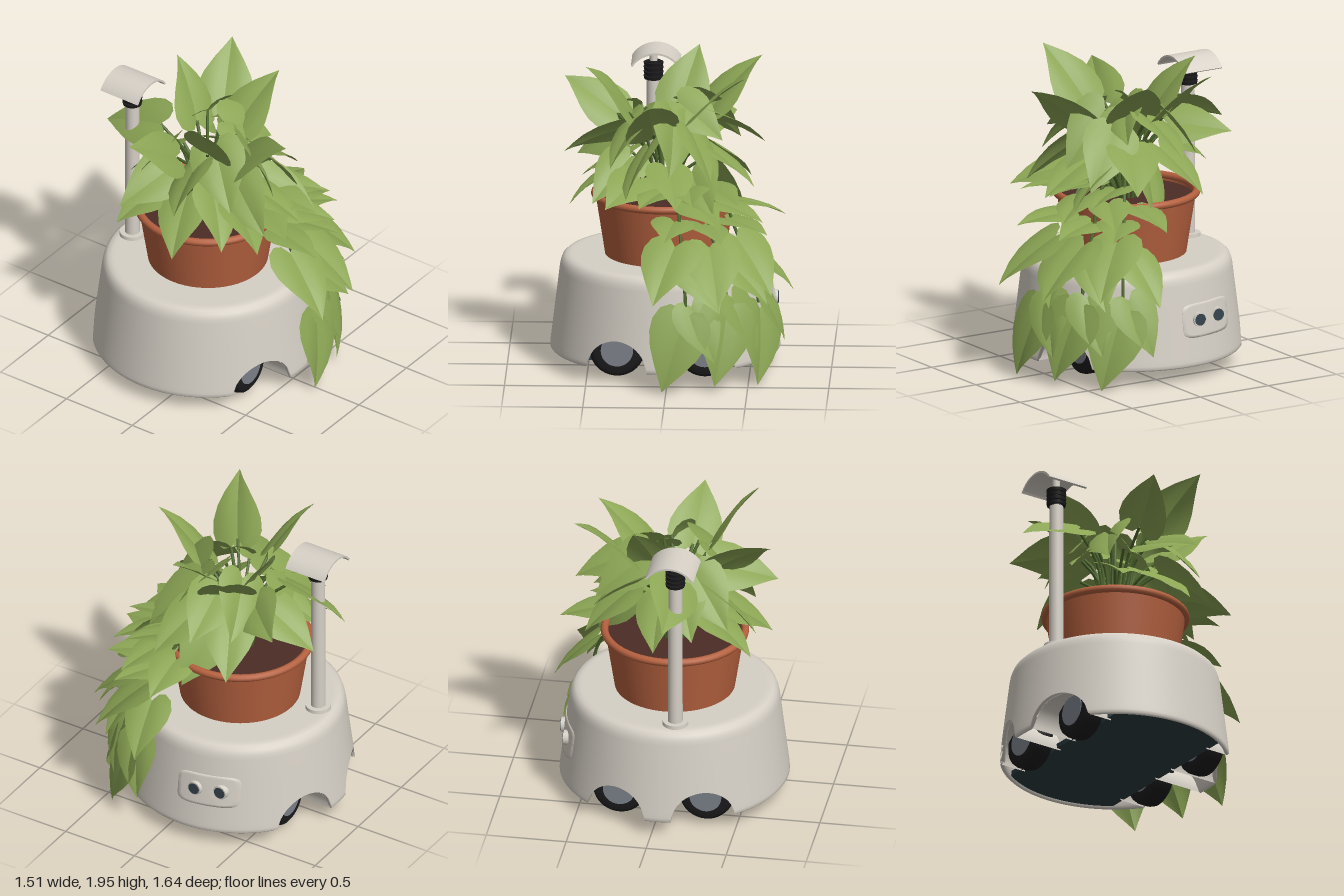
import * as THREE from 'three';

const mat = (name, color, side = THREE.FrontSide) => {
  const m = new THREE.MeshStandardMaterial({ color, side });
  m.name = name;
  return m;
};
const M = {
  shell: mat('warm white shell', 0xd6d0c6, THREE.DoubleSide),
  under: mat('dark underside', 0x2c3b41),
  black: mat('black rubber', 0x1b1b1d),
  hub: mat('grey hub', 0x7c8089),
  lens: mat('dark lens', 0x35444c),
  pot: mat('terracotta', 0xb5613f),
  soil: mat('brown soil', 0x4a2c25),
  leaf: mat('leaf green', 0x8ba554, THREE.DoubleSide),
  stem: mat('stem green', 0x4f6a2e),
};
const CX = -0.03, CZ = -0.13; // axis of the round body
const WHEEL_X = [-0.31, 0.23], WHEEL_Z = [0.33, -0.58];
const V = (x, y, z) => new THREE.Vector3(x, y, z);
const rad = THREE.MathUtils.degToRad;

function add(parent, name, geo, material, x = 0, y = 0, z = 0) {
  const m = new THREE.Mesh(geo, material);
  m.name = name;
  m.position.set(x, y, z);
  parent.add(m);
  return m;
}
const lathe = (pts, seg) => new THREE.LatheGeometry(pts.map(p => new THREE.Vector2(...p)), seg);
const wallRadius = y => 0.712 - 0.122 * (y - 0.13);

// Round shell whose lower edge is lifted over the wheels
function shellGeometry() {
  const pts = [[0.62, 0.6]];
  for (let y = 0.36; y > 0.14; y -= 0.03) pts.push([wallRadius(y) - 0.03, y]);
  pts.push([0.69, 0.132], [0.7, 0.13], [0.709, 0.14]);
  for (let y = 0.16; y < 0.4; y += 0.03) pts.push([wallRadius(y), y]);
  pts.push([wallRadius(0.5), 0.5], [wallRadius(0.64), 0.64], [0.644, 0.67], [0.633, 0.7],
    [0.612, 0.719], [0.585, 0.725], [0.56, 0.725], [0, 0.725]);
  const geo = lathe(pts, 192), p = geo.attributes.position;
  for (let i = 0; i < p.count; i++) {
    const x = p.getX(i), y = p.getY(i), z = p.getZ(i);
    for (const wx of WHEEL_X) {
      const d = Math.abs(x + CX - wx);
      if (d > 0.185) continue;
      const edge = 0.135 + Math.sqrt(0.185 ** 2 - d * d);
      if (y < edge) {
        const r = Math.hypot(x, z), s = (r - 0.122 * (edge - y)) / r;
        p.setXYZ(i, x * s, edge, z * s);
      }
    }
  }
  return geo;
}

// Half-round wheel well reaching from behind the wheel to the shell wall
function wellGeometry(wx, sign) {
  const geo = new THREE.CylinderGeometry(0.188, 0.188, 1, 28, 1, true, Math.PI / 2, Math.PI);
  geo.rotateX(Math.PI / 2);
  const p = geo.attributes.position;
  for (let i = 0; i < p.count; i++) {
    const x = p.getX(i) + wx, y = Math.abs(p.getY(i)) + 0.135;
    const wall = Math.sqrt((wallRadius(y) - 0.015) ** 2 - (x - CX) ** 2);
    p.setXYZ(i, x, y, CZ + sign * (p.getZ(i) > 0 ? wall : 0.36));
  }
  geo.computeVertexNormals();
  return geo;
}

// Round floor cut straight along both wheel rows
function floorGeometry() {
  const geo = new THREE.CylinderGeometry(0.685, 0.685, 0.03, 72), p = geo.attributes.position;
  for (let i = 0; i < p.count; i++) p.setZ(i, THREE.MathUtils.clamp(p.getZ(i), -0.385, 0.385));
  return geo;
}

// Rounded plate bent onto the shell wall
function panelGeometry() {
  const geo = new THREE.RingGeometry(0.001, 1, 96, 8), p = geo.attributes.position;
  const soft = v => Math.sign(v) * Math.abs(v) ** 0.35;
  for (let i = 0; i < p.count; i++) {
    const x = p.getX(i), y = p.getY(i), r = Math.hypot(x, y), k = Math.min(1, r * 8 / 7);
    const z = -0.295 - 0.195 * k * soft(x / r), h = 0.415 + 0.105 * k * soft(y / r);
    p.setXYZ(i, CX + Math.sqrt(wallRadius(h) ** 2 - (z - CZ) ** 2) + (r > 0.99 ? -0.01 : 0.006), h, z);
  }
  geo.computeVertexNormals();
  return geo;
}

function buildBase(root) {
  const base = new THREE.Group();
  base.name = 'wheeled base';
  root.add(base);
  add(base, 'shell', shellGeometry(), M.shell, CX, 0, CZ);
  add(base, 'underside', floorGeometry(), M.under, CX, 0.16, CZ);
  // Wheels with flat hubs, each in its well
  const tire = lathe([[0.09, -0.07], [0.14, -0.07], [0.162, -0.055], [0.17, -0.03], [0.17, 0.03],
    [0.162, 0.055], [0.14, 0.07], [0.09, 0.07]], 40);
  for (const x of WHEEL_X) for (const z of WHEEL_Z) {
    add(base, 'tire', tire, M.black, x, 0.235, z).rotation.x = Math.PI / 2;
    add(base, 'hub', new THREE.CylinderGeometry(0.1, 0.1, 0.15, 32), M.hub, x, 0.235, z).rotation.x = Math.PI / 2;
    const sign = Math.sign(z - CZ);
    add(base, 'wheel well', wellGeometry(x, sign), M.shell);
    const back = add(base, 'well back', new THREE.CircleGeometry(0.188, 28, 0, Math.PI), M.under, x, 0.135, CZ + sign * 0.387);
    back.rotation.y = sign > 0 ? 0 : Math.PI;
  }
  // Sensor panel with two eyes
  add(base, 'sensor panel', panelGeometry(), M.shell);
  for (const z of [-0.22, -0.38]) {
    const x = CX + Math.sqrt(wallRadius(0.42) ** 2 - (z - CZ) ** 2) - 0.018;
    add(base, 'eye barrel', new THREE.CylinderGeometry(0.046, 0.05, 0.08, 28), M.shell, x, 0.42, z).rotation.z = -Math.PI / 2;
    add(base, 'eye lens', new THREE.CylinderGeometry(0.037, 0.037, 0.006, 28), M.lens, x + 0.041, 0.42, z).rotation.z = -Math.PI / 2;
  }
}

function buildMast(root) {
  const mast = new THREE.Group();
  mast.name = 'sensor mast';
  mast.position.set(-0.12, 0, -0.635);
  root.add(mast);
  add(mast, 'flange', new THREE.CylinderGeometry(0.078, 0.08, 0.025, 32), M.shell, 0, 0.735);
  add(mast, 'pole', new THREE.CylinderGeometry(0.043, 0.046, 0.98, 28), M.shell, 0, 1.215);
  add(mast, 'neck', new THREE.CylinderGeometry(0.045, 0.045, 0.12, 24), M.black, 0, 1.75);
  for (let i = 0; i < 4; i++)
    add(mast, 'neck ring', new THREE.CylinderGeometry(0.062, 0.058, 0.019, 24), M.black, 0, 1.705 + i * 0.029);
  add(mast, 'head stem', new THREE.CylinderGeometry(0.024, 0.024, 0.08, 20), M.shell, 0, 1.84);
  // Curved canopy
  const s = new THREE.Shape(), a = rad(33), b = rad(147);
  s.absarc(0, 0, 0.18, a, b, false);
  s.absarc(0, 0, 0.168, b, a, true);
  const geo = new THREE.ExtrudeGeometry(s, { depth: 0.28, bevelEnabled: false, curveSegments: 28 });
  add(mast, 'canopy', geo, M.shell, 0.015, 1.71, -0.145);
}

function buildPot(root) {
  const pot = new THREE.Group();
  pot.name = 'flower pot';
  pot.position.set(CX, 0, CZ + 0.005);
  root.add(pot);
  add(pot, 'pot wall', lathe([[0.37, 0.715], [0.43, 1.1]], 56), M.pot);
  add(pot, 'pot inside', lathe([[0.422, 1.12], [0.415, 1.04]], 56), M.pot);
  add(pot, 'pot rim', new THREE.TorusGeometry(0.434, 0.024, 12, 56), M.pot, 0, 1.106).rotation.x = Math.PI / 2;
  add(pot, 'soil', new THREE.CylinderGeometry(0.42, 0.41, 0.03, 40), M.soil, 0, 1.06);
}

// Heart-shaped blade of length 1 along +y, folded along the midrib and drooping at the tip
function leafGeometry() {
  const rib = [0, 0.03, 0.08, 0.18, 0.3, 0.44, 0.6, 0.76, 0.9, 1];
  const edge = [[0, 0], [0.1, -0.12], [0.22, -0.14], [0.34, -0.06], [0.4, 0.1], [0.39, 0.28],
    [0.32, 0.48], [0.2, 0.69], [0.08, 0.87], [0, 1]];
  const pos = [], idx = [], cols = 4;
  for (const side of [1, -1]) {
    const start = pos.length / 3;
    rib.forEach((r, i) => {
      for (let j = 0; j < cols; j++) {
        const t = j / (cols - 1), x = edge[i][0] * t, y = r + (edge[i][1] - r) * t;
        pos.push(side * x, y, 0.36 * x - 0.9 * x * x - 0.14 * y * y);
        if (i && j) {
          const d = start + i * cols + j, c = d - 1, b = d - cols, a = b - 1;
          if (side > 0) idx.push(a, b, d, a, d, c); else idx.push(a, d, b, a, c, d);
        }
      }
    });
  }
  const geo = new THREE.BufferGeometry();
  geo.setAttribute('position', new THREE.Float32BufferAttribute(pos, 3));
  geo.setIndex(idx);
  geo.computeVertexNormals();
  return geo;
}
const tube = (pts, r, seg) => new THREE.TubeGeometry(new THREE.CatmullRomCurve3(pts), seg, r, 6);

function buildPlant(root) {
  const plant = new THREE.Group();
  plant.name = 'plant';
  root.add(plant);
  const blade = leafGeometry();
  const polar = (az, r, y) => V(CX + r * Math.sin(rad(az)), y, CZ + r * Math.cos(rad(az)));
  // Leaf at base, heading az, rising by pitch, rolled about its midrib, swung sideways in its plane
  function leaf(base, az, pitch, length, roll, sway = 0) {
    const out = V(Math.sin(rad(az)), 0, Math.cos(rad(az))), p = rad(pitch);
    const dir = out.clone().multiplyScalar(Math.cos(p)).setY(Math.sin(p));
    const n = out.clone().multiplyScalar(-Math.sin(p)).setY(Math.cos(p)).applyAxisAngle(dir, roll);
    dir.applyAxisAngle(n, rad(sway));
    const m = add(plant, 'leaf', blade, M.leaf);
    m.quaternion.setFromRotationMatrix(new THREE.Matrix4().makeBasis(dir.clone().cross(n), dir, n));
    m.position.copy(base);
    m.scale.setScalar(length);
  }
  // Crown leaves: azimuth, base radius, base height, pitch, length
  const crown = [
    [-54, 0.28, 1.66, 52, 0.43], [106, 0.29, 1.62, 46, 0.46], [150, 0.16, 1.62, 56, 0.42],
    [-95, 0.3, 1.6, 34, 0.4], [-12, 0.3, 1.55, 40, 0.44], [65, 0.2, 1.6, 45, 0.44],
    [190, 0.32, 1.6, -14, 0.43], [140, 0.25, 1.54, -2, 0.4], [88, 0.24, 1.62, -22, 0.42],
    [62, 0.27, 1.45, -28, 0.42], [-70, 0.24, 1.54, -14, 0.42], [-112, 0.24, 1.47, -24, 0.42],
    [-82, 0.27, 1.32, -32, 0.42], [-40, 0.2, 1.66, -38, 0.44], [15, 0.2, 1.66, -48, 0.44],
    [-135, 0.2, 1.6, -42, 0.42], [108, 0.26, 1.42, -35, 0.4], [40, 0.26, 1.54, -42, 0.44],
    [-20, 0.28, 1.46, -32, 0.43], [-48, 0.28, 1.38, -32, 0.4], [5, 0.32, 1.34, -22, 0.38],
    [30, 0.34, 1.3, -26, 0.38], [82, 0.26, 1.34, -50, 0.42], [168, 0.22, 1.45, -28, 0.4],
    [-160, 0.18, 1.5, -32, 0.38], [125, 0.18, 1.68, -36, 0.42], [52, 0.1, 1.7, -28, 0.38],
    [-125, 0.26, 1.32, -24, 0.4], [-25, 0.36, 1.28, -14, 0.38],
  ];
  crown.forEach(([az, r, y, pitch, len], i) => {
    const base = polar(az, r, y);
    leaf(base, az + 10 * Math.sin(i * 1.7), pitch + 3, len, 0.7 * Math.sin(i * 2.3 + 4.1));
    add(plant, 'leaf stalk', tube([polar(az, 0.07, 1.06), polar(az, r * 0.5, 1.06 + (y - 1.06) * 0.7), base], 0.01, 8), M.stem);
  });
  // Trailing vines over the pot rim; each leaf: radius, height, turn, pitch, length, sway
  const path = [[0.06, 1.06], [0.22, 1.26], [0.38, 1.22], [0.47, 1.12], [0.52, 1], [0.6, 0.85], [0.68, 0.7], [0.72, 0.52]];
  const trail = [
    [0.36, 1.22, -30, 2, 0.36, 0], [0.46, 1.14, 30, -8, 0.34, 0], [0.48, 1.03, -12, 0, 0.34, 0],
    [0.57, 0.91, -14, -32, 0.46, -8], [0.61, 0.82, 16, -38, 0.38, 14],
    [0.7, 0.58, 10, -62, 0.38, 20], [0.73, 0.5, -4, -72, 0.47, -16],
  ];
  [12, 34, 55].forEach((az, v) => {
    add(plant, 'vine', tube(path.map(([r, y]) => polar(az, r, y)), 0.011, 40), M.stem);
    trail.forEach(([r, y, turn, pitch, len, sway], i) => {
      const base = polar(az + turn * 0.3, r + 0.01, y + 0.02 * Math.sin(v * 2 + i));
      leaf(base, az + turn + 8 * (v - 1), pitch, len, 0.15 * Math.sin(v + i * 2), sway);
    });
  });
}

export function createModel() {
  const root = new THREE.Group();
  root.name = 'rolling planter';
  buildBase(root);
  buildMast(root);
  buildPot(root);
  buildPlant(root);
  return root;
}
